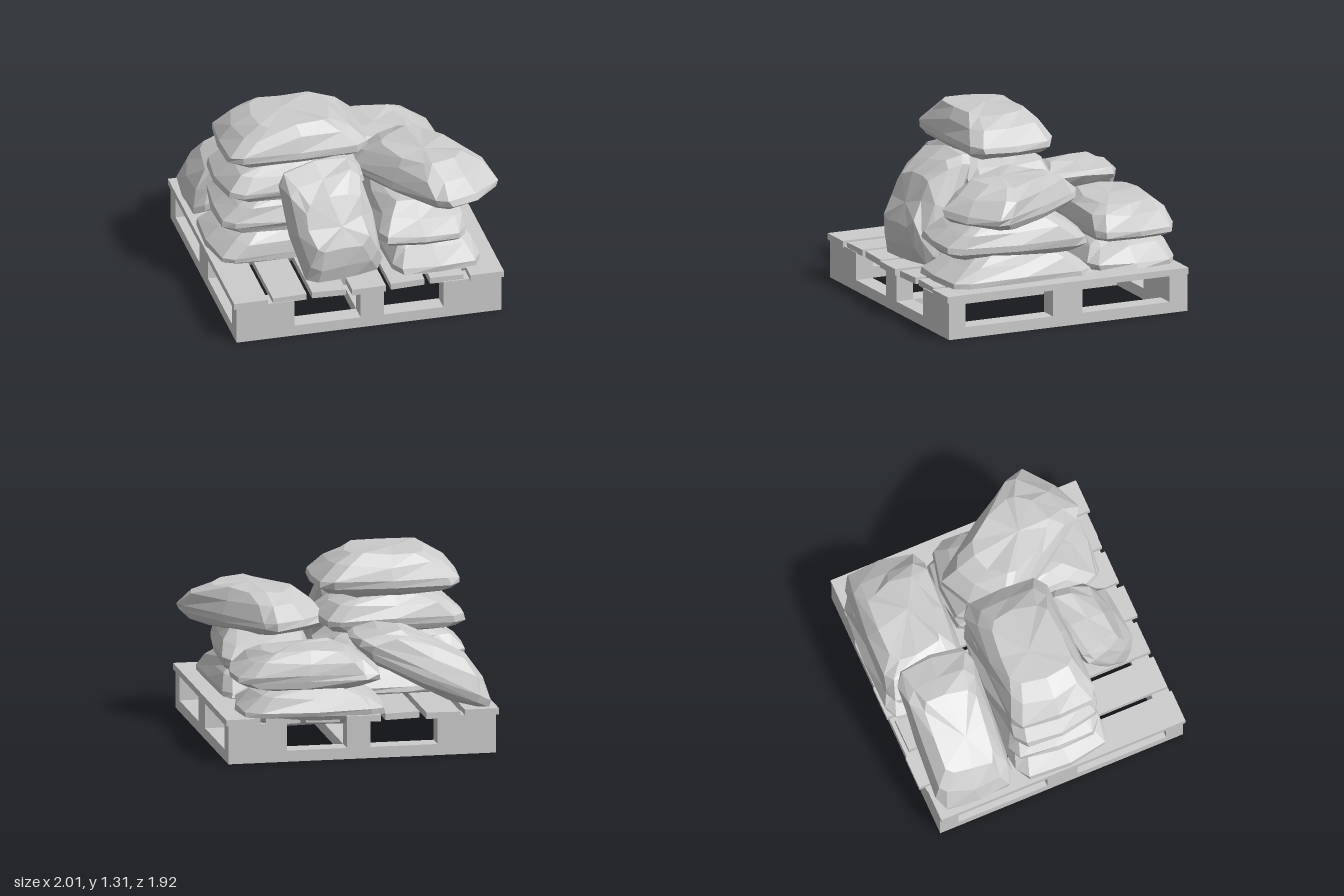
import * as THREE from 'three';

const grey = new THREE.MeshStandardMaterial({ color: 0xcccccc, flatShading: true });

// Small seeded generator for the lumps in the sacks
let seed = 11;
const rand = () => (seed = (seed * 16807) % 2147483647) / 2147483647 - 0.5;

function box(parent, name, x0, x1, y0, y1, z0, z1) {
  const m = new THREE.Mesh(new THREE.BoxGeometry(x1 - x0, y1 - y0, z1 - z0), grey);
  m.position.set((x0 + x1) / 2, (y0 + y1) / 2, (z0 + z1) / 2);
  m.name = name;
  parent.add(m);
  return m;
}

// Sack profile, bottom to top: [inset at the short ends, inset at the long sides, height fraction, corner roundness]
const PROFILE = [
  [0.2, 0.1, 0, 0.5], [0.06, 0.03, 0.12, 0.4], [0, 0.005, 0.25, 0.36], [0.01, 0, 0.4, 0.36],
  [0.12, 0.035, 0.72, 0.42], [0.25, 0.1, 0.96, 0.5],
];
const SIDES = 12;

// The sack is long in x, h high and d deep, with rounded-rectangle rings
function sackGeometry(length, h, d) {
  const pos = [], idx = [];
  const curve = (v, e) => Math.abs(v) < 1e-6 ? 0 : Math.sign(v) * Math.abs(v) ** e;
  for (const [insetX, insetZ, t, e] of PROFILE) {
    const lump = t > 0.5 ? 0.045 : 0.025;
    for (let i = 0; i < SIDES; i++) {
      const a = i / SIDES * Math.PI * 2;
      pos.push(
        (length / 2 - insetX) * curve(Math.cos(a), e) + rand() * lump,
        (t - 0.5) * h + rand() * lump * 0.7,
        (d / 2 - insetZ) * curve(Math.sin(a), e) + rand() * lump);
    }
  }
  for (let r = 0; r < PROFILE.length - 1; r++)
    for (let i = 0; i < SIDES; i++) {
      const a = r * SIDES + i, b = r * SIDES + (i + 1) % SIDES;
      idx.push(a, a + SIDES, b, b, a + SIDES, b + SIDES);
    }
  // Closed underside and crown
  const bottom = pos.length / 3, top = bottom + 1, last = (PROFILE.length - 1) * SIDES;
  pos.push(0, -h / 2, 0, rand() * 0.15, h / 2, rand() * 0.1);
  for (let i = 0; i < SIDES; i++) {
    const j = (i + 1) % SIDES;
    idx.push(bottom, i, j, top, last + j, last + i);
  }
  const g = new THREE.BufferGeometry();
  g.setAttribute('position', new THREE.Float32BufferAttribute(pos, 3));
  g.setIndex(idx);
  const flat = g.toNonIndexed();
  flat.computeVertexNormals();
  return flat;
}

// rot = [pitch, yaw, roll], applied in that order
function sack(parent, name, size, at, rot) {
  const m = new THREE.Mesh(sackGeometry(...size), grey);
  m.position.set(...at);
  m.rotation.set(...rot, 'ZYX');
  m.name = name;
  parent.add(m);
  return m;
}

function createPallet() {
  const g = new THREE.Group();
  g.name = 'pallet';
  const ends = [[-0.92, -0.78], [0.81, 0.94]];
  // Base frame with a middle runner
  for (const [z0, z1] of ends) box(g, 'baseBoard', -0.98, 0.94, 0, 0.08, z0, z1);
  for (const [x0, x1] of [[-0.98, -0.84], [-0.08, 0.09], [0.8, 0.94]]) box(g, 'baseRunner', x0, x1, 0, 0.08, -0.78, 0.81);
  // Spacer blocks: three on each end, one in the middle of each side
  for (const [z0, z1] of ends)
    for (const [x0, x1] of [[-0.98, -0.56], [-0.08, 0.09], [0.52, 0.94]]) box(g, 'spacerBlock', x0, x1, 0.08, 0.28, z0, z1);
  for (const [x0, x1] of [[-0.98, -0.84], [0.8, 0.94]]) box(g, 'spacerBlock', x0, x1, 0.08, 0.28, -0.1, 0.13);
  // Deck boards, slightly uneven: [back end, front end, roll]
  const boards = [
    [-0.92, 0.95, 0], [-0.965, 0.935, 0.02], [-0.92, 0.93, -0.03], [-0.965, 0.955, 0],
    [-0.92, 0.935, 0.03], [-0.92, 0.93, -0.02], [-0.92, 0.96, 0],
  ];
  boards.forEach(([z0, z1, roll], i) => {
    const x = -1 + i * 0.285;
    box(g, 'deckBoard', x, x + 0.245, 0.272, 0.318, z0, z1).rotation.z = roll;
  });
  return g;
}

export function createModel() {
  const model = new THREE.Group();
  model.name = 'loadedPallet';
  model.add(createPallet());

  const sacks = new THREE.Group();
  sacks.name = 'sacks';
  model.add(sacks);

  // Tall stack of four
  sack(sacks, 'tallStackSack1', [1.1, 0.29, 0.74], [-0.44, 0.395, 0.04], [0, 0.05, 0]);
  sack(sacks, 'tallStackSack2', [1.07, 0.29, 0.7], [-0.4, 0.64, 0.04], [0, -0.05, 0]);
  sack(sacks, 'tallStackSack3', [1.05, 0.29, 0.69], [-0.39, 0.88, 0.03], [0, 0.03, 0]);
  sack(sacks, 'tallStackSack4', [1.06, 0.31, 0.66], [-0.365, 1.155, 0.03], [0, 0, 0]);

  // Side stack of three, the top one turned
  const quarter = Math.PI / 2;
  sack(sacks, 'sideStackSack1', [1.14, 0.28, 0.66], [0.52, 0.385, 0.29], [0, -quarter, 0]);
  sack(sacks, 'sideStackSack2', [1.1, 0.29, 0.66], [0.47, 0.615, 0.28], [0, -quarter - 0.1, 0]);
  sack(sacks, 'sideStackSack3', [1.08, 0.31, 0.6], [0.53, 0.875, 0.275], [0, -quarter + 0.57, 0]);

  // Back stack of two
  sack(sacks, 'backStackSack1', [1.04, 0.28, 0.68], [0.3, 0.385, -0.61], [0, -0.05, 0]);
  sack(sacks, 'backStackSack2', [1.06, 0.28, 0.63], [0.34, 0.63, -0.62], [0, -0.05, 0]);

  // Sacks leaning on the stacks
  sack(sacks, 'backLeaningSack', [1.08, 0.31, 0.6], [-0.52, 0.62, -0.6], [0, -0.04, 0.47]);
  const front = new THREE.Group();
  front.name = 'frontLeaning';
  front.position.set(-0.2, 0.675, 0.6);
  front.rotation.set(1.13, 0.12, 0.12, 'ZYX');
  sack(front, 'frontLeaningSack', [0.9, 0.31, 0.61], [0, 0, 0], [0, quarter, 0]);
  sacks.add(front);
  return model;
}
